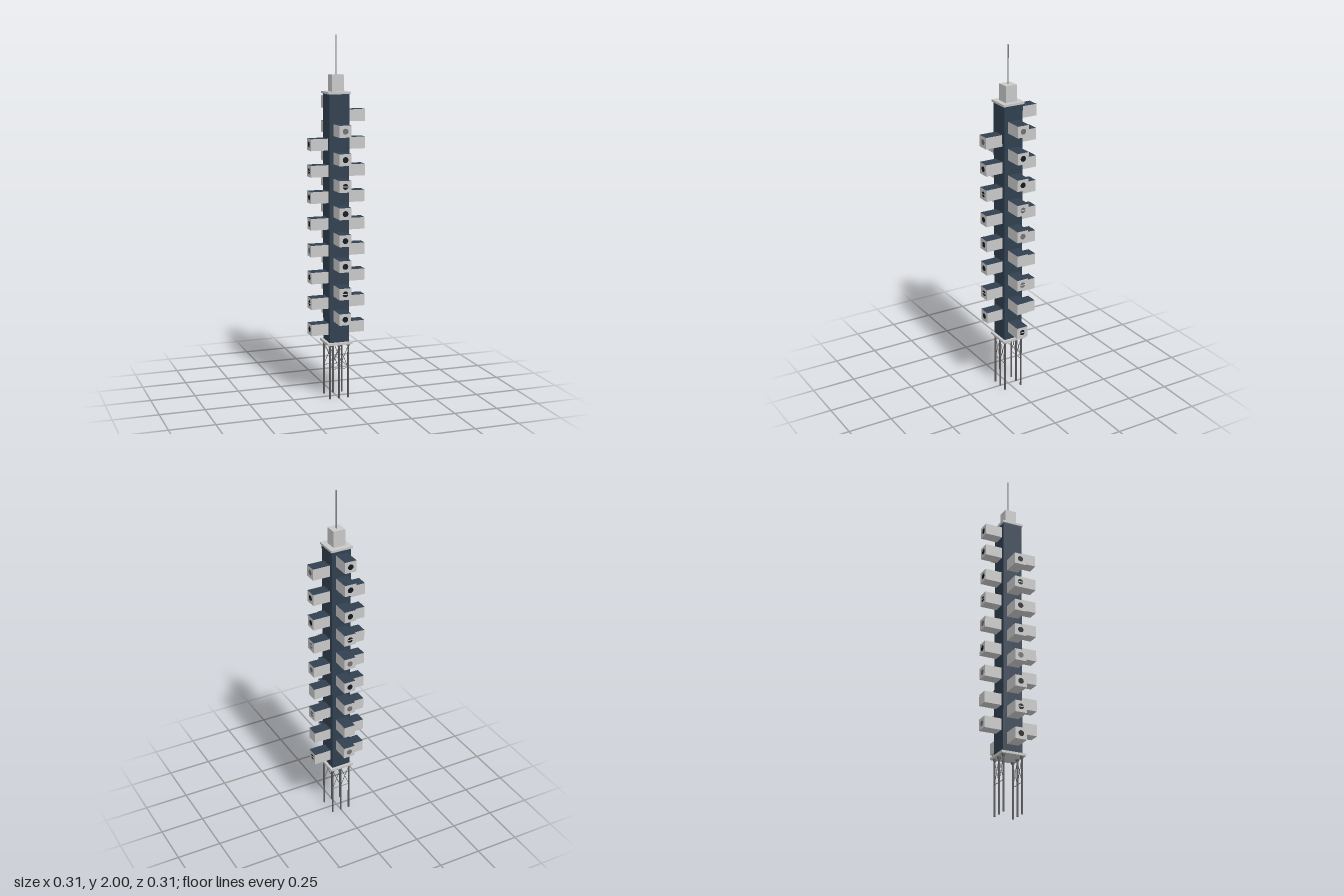
import * as THREE from 'three';

const mat = (name, color) => Object.assign(new THREE.MeshStandardMaterial({ color }), { name });

export function createModel() {
  const concrete = mat('concrete grey', 0xc8c8c8);
  const navy = mat('navy cladding', 0x303f4f);
  const steel = mat('leg steel', 0x5c5c5c);
  const mast = mat('mast grey', 0x7c8288);
  const glass = mat('dark glass', 0x14181d);
  const blind = mat('closed blind', 0x707070);

  const model = new THREE.Group();
  model.name = 'capsuleTower';

  const add = (parent, name, geometry, material, x = 0, y = 0, z = 0) => {
    const mesh = new THREE.Mesh(geometry, material);
    mesh.name = name;
    mesh.position.set(x, y, z);
    parent.add(mesh);
    return mesh;
  };
  // Square block given by its half width and its bottom and top heights
  const block = (name, half, y0, y1, material) =>
    add(model, name, new THREE.BoxGeometry(half * 2, y1 - y0, half * 2), material, 0, (y0 + y1) / 2, 0);
  // Round bar between two points
  const bar = (name, a, b, r, material) => {
    const from = new THREE.Vector3(...a), to = new THREE.Vector3(...b);
    const dir = to.clone().sub(from);
    const mesh = add(model, name, new THREE.CylinderGeometry(r, r, dir.length(), 8), material);
    mesh.position.copy(from).add(to).multiplyScalar(0.5);
    mesh.quaternion.setFromUnitVectors(new THREE.Vector3(0, 1, 0), dir.normalize());
  };

  // Tower core
  block('basePlatform', 0.071, 0.309, 0.322, concrete);
  block('shaft', 0.056, 0.322, 1.688, navy);
  block('roofCap', 0.063, 1.688, 1.7, concrete);
  block('penthouse', 0.034, 1.7, 1.79, concrete);
  bar('antenna', [0, 1.79, 0], [0, 2, 0], 0.0035, mast);

  // Two rows of three legs, each row with crossed bracing
  const L = 0.053;
  for (const z of [-L, L]) {
    for (const x of [-L, 0, L]) {
      bar('leg', [x, 0, z], [x, 0.309, z], 0.0055, steel);
      bar('legHead', [x, 0.299, z], [x, 0.309, z], 0.01, steel);
    }
    for (const x of [-L, 0]) {
      bar('brace', [x, 0.17, z], [x + L, 0.3, z], 0.0015, steel);
      bar('brace', [x + L, 0.17, z], [x, 0.3, z], 0.0015, steel);
    }
    bar('tieBar', [-L, 0.17, z], [L, 0.17, z], 0.0015, steel);
  }

  // Capsule shell along +x: a box without its two ends, with a navy top
  const W = 0.067, H = 0.064, R = 0.016, END = 0.1545;
  const shellGeo = new THREE.BoxGeometry(0.099, H, W);
  shellGeo.setIndex(Array.from(shellGeo.index.array).slice(12));
  shellGeo.groups = shellGeo.groups.slice(2).map((g) => ({ ...g, start: g.start - 12 }));
  const shellMats = [concrete, concrete, navy, concrete, concrete, concrete];

  // End walls, plain or with a round opening that the window fills flush
  const plainEnd = new THREE.PlaneGeometry(W, H).rotateY(Math.PI / 2);
  const endShape = new THREE.Shape([[-1, -1], [1, -1], [1, 1], [-1, 1]]
    .map(([u, v]) => new THREE.Vector2(u * W / 2, v * H / 2)));
  endShape.holes.push(new THREE.Path().absarc(0, 0, R, 0, Math.PI * 2, true));
  const openEnd = new THREE.ShapeGeometry(endShape, 12).rotateY(Math.PI / 2);
  const windowGeo = new THREE.CircleGeometry(R, 24).rotateY(Math.PI / 2);
  const windowBarGeo = new THREE.BoxGeometry(0.001, 0.005, R * 2);

  // Window kinds: d dark, s split by a bar, b blind, c blind with bar, n none
  const sides = [
    { name: 'leftCapsules', turn: 0, kinds: 'bddcbncns',
      heights: [1.572, 1.423, 1.275, 1.132, 0.98, 0.838, 0.692, 0.547, 0.399] },
    { name: 'backCapsules', turn: Math.PI / 2, kinds: 'dddsbdbnb',
      heights: [1.635, 1.502, 1.346, 1.205, 1.057, 0.909, 0.768, 0.617, 0.477] },
    { name: 'rightCapsules', turn: Math.PI, kinds: 'dsddbdsd',
      heights: [1.418, 1.275, 1.132, 0.986, 0.838, 0.688, 0.544, 0.396] },
    { name: 'frontCapsules', turn: -Math.PI / 2, kinds: 'bdsdddsd',
      heights: [1.497, 1.346, 1.203, 1.056, 0.909, 0.768, 0.616, 0.475] },
  ];
  for (const { name, turn, kinds, heights } of sides) {
    const side = new THREE.Group();
    side.name = name;
    side.rotation.y = turn;
    model.add(side);
    heights.forEach((y, i) => {
      const kind = kinds[i];
      add(side, 'capsule', shellGeo, shellMats, 0.105, y);
      add(side, 'capsuleEnd', kind === 'n' ? plainEnd : openEnd, concrete, END, y);
      if (kind === 'n') return;
      add(side, 'window', windowGeo, 'ds'.includes(kind) ? glass : blind, END, y);
      if ('sc'.includes(kind)) add(side, 'windowBar', windowBarGeo, concrete, END, y);
    });
  }
  return model;
}
